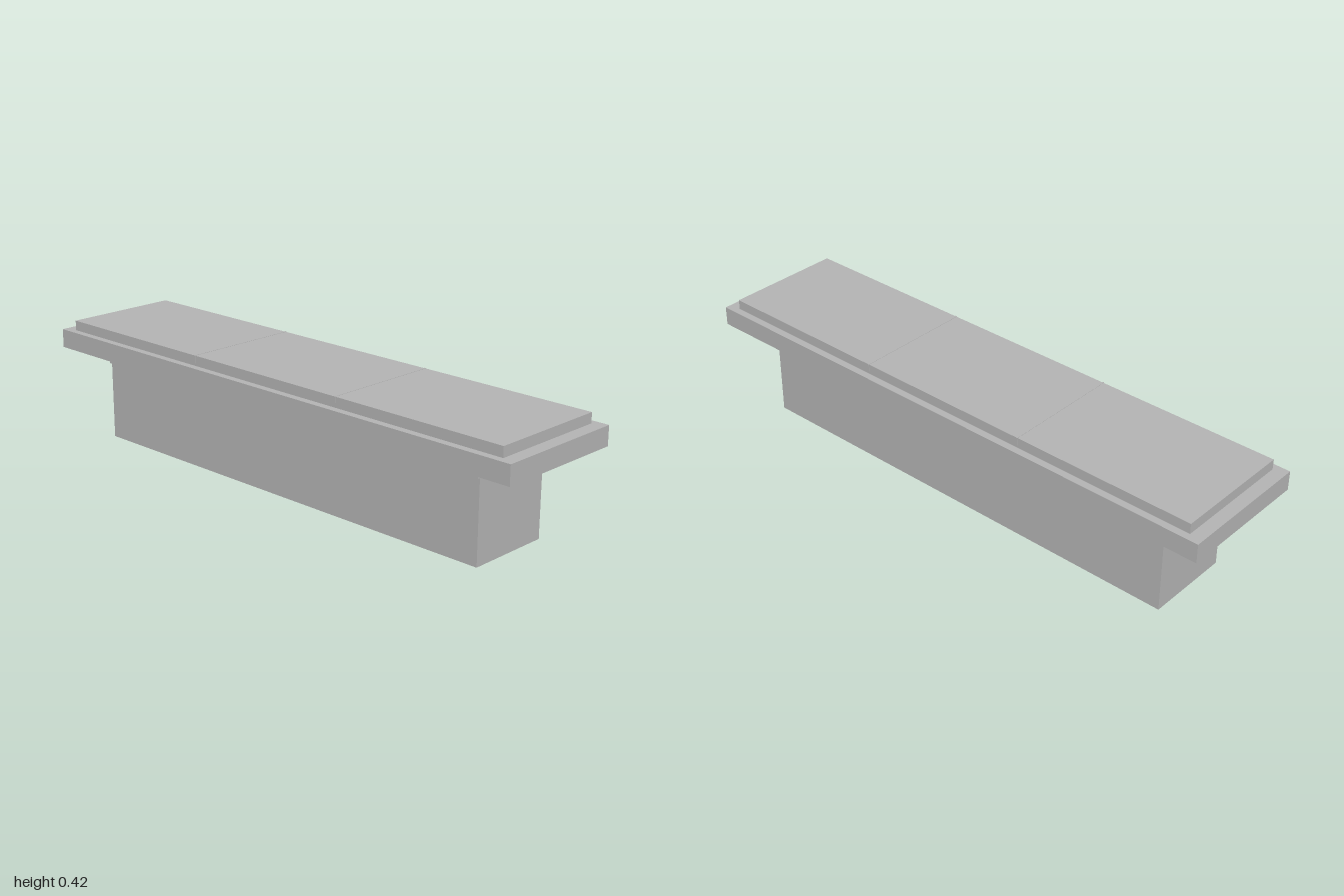
import * as THREE from 'three';

export function createModel() {
  const model = new THREE.Group();
  const grey = new THREE.MeshStandardMaterial({ color: 0xb2b2b2, side: THREE.DoubleSide });
  grey.name = 'plainGrey';

  function add(name, geometry, x = 0, y = 0, z = 0) {
    const mesh = new THREE.Mesh(geometry, grey);
    mesh.name = name;
    mesh.position.set(x, y, z);
    model.add(mesh);
    return mesh;
  }

  // a box given by its width, depth and bottom and top heights
  function slab(name, width, depth, bottom, top, x = 0, z = 0) {
    return add(name, new THREE.BoxGeometry(width, top - bottom, depth), x, (bottom + top) / 2, z);
  }

  // hollow base: four thin walls, open underneath
  const baseW = 1.664, baseD = 0.3, baseH = 0.318;
  for (const s of [1, -1]) {
    const long = add(s > 0 ? 'frontWall' : 'backWall',
      new THREE.PlaneGeometry(baseW, baseH), 0, baseH / 2, s * baseD / 2);
    long.rotation.y = s > 0 ? 0 : Math.PI;
    const short = add(s > 0 ? 'leftWall' : 'rightWall',
      new THREE.PlaneGeometry(baseD, baseH), s * baseW / 2, baseH / 2, 0);
    short.rotation.y = s * Math.PI / 2;
  }

  // narrow moulding along the front wall
  slab('frontMoulding', baseW, 0.01, 0.277, 0.3, 0, 0.155);

  // overhanging top and the raised panel on it
  slab('counter', 2, 0.468, 0.318, 0.384);
  slab('topPanel', 1.91, 0.418, 0.384, 0.419);

  // thin joint strips dividing the panel into thirds
  for (const x of [-0.317, 0.317]) {
    slab('jointStrip', 0.006, 0.422, 0.393, 0.42, x);
  }
  return model;
}
